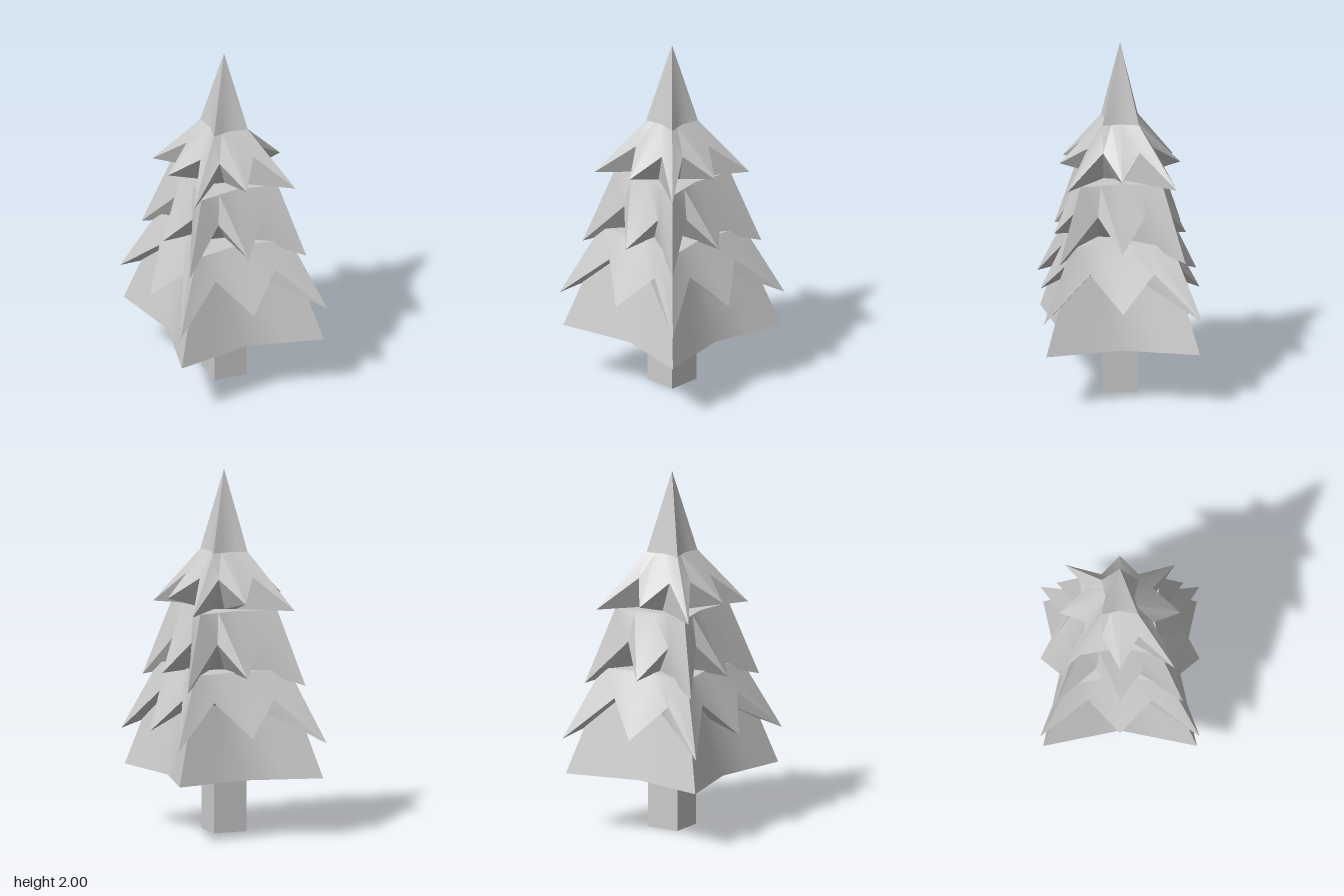
import * as THREE from 'three';
import { toCreasedNormals } from 'three/addons/utils/BufferGeometryUtils.js';

// Four-sided star ring of 16 points: corner, notch, middle, notch on each side.
// corner = [x, y], middle = [z, y], notch = [x, z, y]; twist turns the ring about y.
function starRing(corner, middle, notch, twist = 0) {
  const [nx, nz, ny] = notch ?? [corner[0] / 2, (corner[0] + middle[0]) / 2, (corner[1] + middle[1]) / 2];
  const side = [
    [-corner[0], corner[1], corner[0]],
    [-nx, ny, nz],
    [0, middle[1], middle[0]],
    [nx, ny, nz],
  ];
  const up = new THREE.Vector3(0, 1, 0);
  const ring = [];
  for (let s = 0; s < 4; s++) {
    for (const p of side) {
      ring.push(new THREE.Vector3(...p).applyAxisAngle(up, (s * Math.PI) / 2 + twist));
    }
  }
  return ring;
}

const flatRing = (y, corner, middle, twist) => starRing([corner, y], [middle, y], null, twist);

// Skin between successive rings, listed from the top down
function loft(rings) {
  const positions = [];
  const n = rings[0].length;
  for (let r = 0; r + 1 < rings.length; r++) {
    for (let i = 0; i < n; i++) {
      const j = (i + 1) % n;
      const a = rings[r][i], b = rings[r + 1][i], c = rings[r + 1][j], d = rings[r][j];
      for (const tri of [[a, b, c], [a, c, d]]) {
        const area = new THREE.Triangle(...tri).getArea();
        if (area > 1e-8) for (const p of tri) positions.push(p.x, p.y, p.z);
      }
    }
  }
  const geometry = new THREE.BufferGeometry();
  geometry.setAttribute('position', new THREE.Float32BufferAttribute(positions, 3));
  return toCreasedNormals(geometry, 0.5);
}

export function createModel() {
  const tree = new THREE.Group();
  tree.name = 'firTree';
  const material = new THREE.MeshStandardMaterial({ color: 0xcccccc, side: THREE.DoubleSide });
  const add = (name, geometry) => {
    const mesh = new THREE.Mesh(geometry, material);
    mesh.name = name;
    tree.add(mesh);
    return mesh;
  };

  // Trunk
  add('trunk', new THREE.BoxGeometry(0.19, 0.36, 0.19)).position.y = 0.18;

  // Pointed top
  const neck = flatRing(1.55, 0.1, 0.08);
  add('treetop', loft([flatRing(2, 0, 0), neck]));

  // Jagged skirts: shoulder, toothed rim, then a twisted underside tucked into the core
  const twist = -0.35;
  const skirts = [
    {
      name: 'upperBranches', top: neck,
      rim: starRing([0.3, 1.24], [0.33, 1.3], [0.1, 0.18, 1.42]),
      core: flatRing(1.24, 0.12, 0.1, twist),
    },
    {
      name: 'middleBranches', top: flatRing(1.24, 0.225, 0.185),
      rim: starRing([0.345, 0.83], [0.36, 0.89], [0.13, 0.24, 1.07]),
      core: flatRing(0.91, 0.16, 0.13, twist),
    },
    {
      name: 'lowerBranches', top: flatRing(0.91, 0.275, 0.225),
      rim: starRing([0.435, 0.52], [0.435, 0.57], [0.175, 0.31, 0.76]),
      core: flatRing(0.69, 0.22, 0.18, twist),
    },
  ];
  skirts.forEach(({ name, top, rim, core }, i) => {
    // Flat shelf joining this shoulder to the core of the skirt above
    const rings = i ? [skirts[i - 1].core, top, rim, core] : [top, rim, core];
    add(name, loft(rings));
  });

  // Plain bottom skirt with a closed star-shaped base
  add('bottomBranches', loft([
    skirts[2].core,
    flatRing(0.74, 0.3, 0.235),
    flatRing(0.325, 0.42, 0.33),
    flatRing(0.325, 0, 0),
  ]));

  return tree;
}
